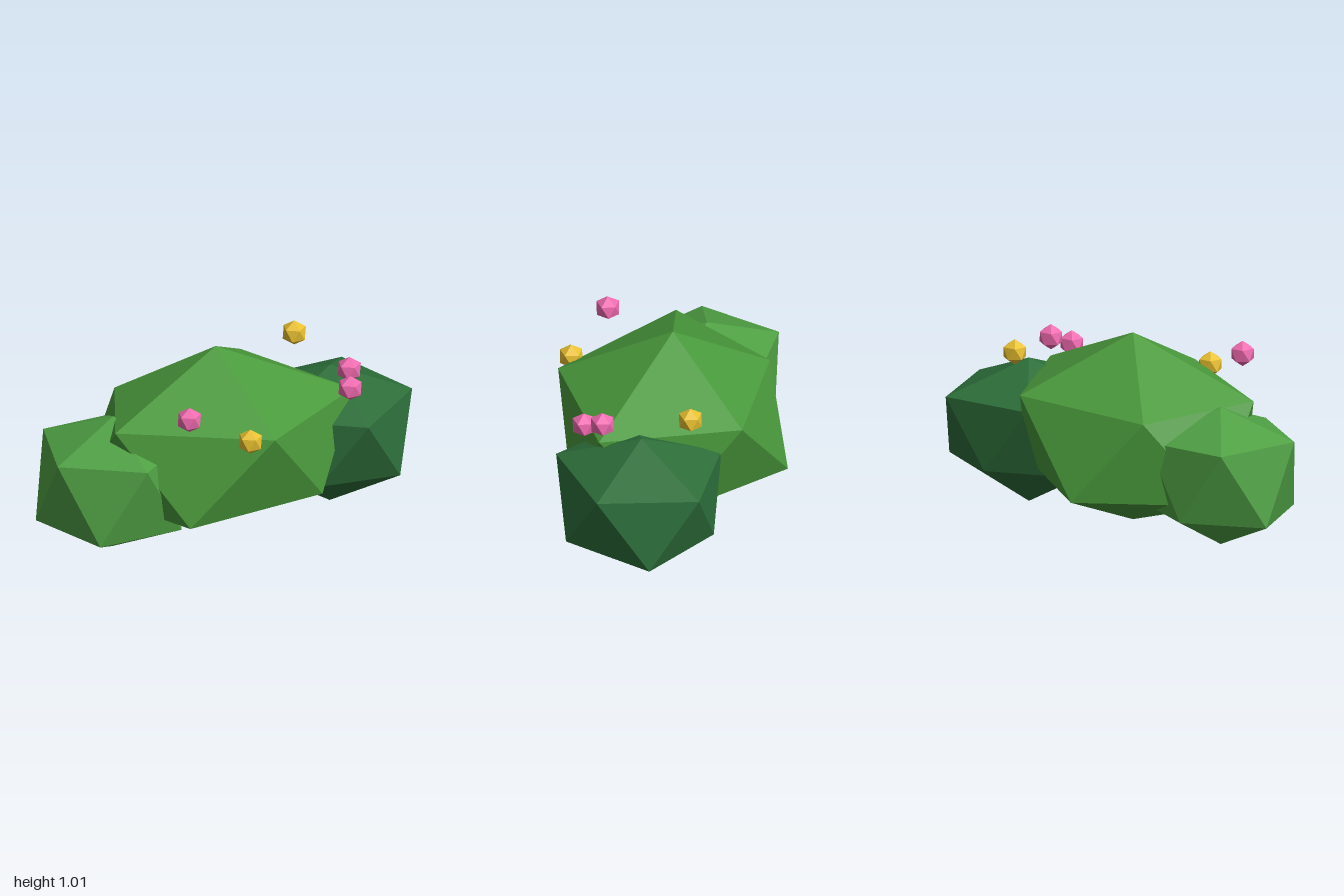
import * as THREE from 'three';

// Twenty-sided lump: a tip above and below, and two staggered rings of five.
// centre [x, z], heights [bottom, lower ring, upper ring, top], radii [x, z];
// lower and upper push single ring corners in or out.
function lump(name, color, { centre, heights, radii, lower = [1, 1, 1, 1, 1], upper = [1, 1, 1, 1, 1] }) {
  const [cx, cz] = centre;
  const [yBottom, yLower, yUpper, yTop] = heights;
  const midY = (yLower + yUpper) / 2;
  const ring = (y, turn, push) => push.map((s, k) => {
    const a = (k + turn) * Math.PI * 0.4;
    return [cx + Math.cos(a) * 0.894 * radii[0] * s, midY + (y - midY) * s, cz + Math.sin(a) * 0.894 * radii[1] * s];
  });
  const u = ring(yUpper, 0, upper);
  const l = ring(yLower, 0.5, lower);
  const top = [cx, yTop, cz];
  const bottom = [cx, yBottom, cz];
  const corners = [];
  for (let k = 0; k < 5; k++) {
    const n = (k + 1) % 5;
    corners.push(top, u[n], u[k], u[k], u[n], l[k], l[k], u[n], l[n], l[k], l[n], bottom);
  }
  const geometry = new THREE.BufferGeometry();
  geometry.setAttribute('position', new THREE.Float32BufferAttribute(corners.flat(), 3));
  geometry.computeVertexNormals();
  const mesh = new THREE.Mesh(geometry, new THREE.MeshStandardMaterial({ color, flatShading: true }));
  mesh.name = name;
  return mesh;
}

export function createModel() {
  const group = new THREE.Group();
  group.name = 'floweringBush';

  // Foliage
  group.add(
    lump('middleFoliage', 0x4a9a3c, {
      centre: [-0.05, 0.01], heights: [0.03, 0.265, 0.73, 1.02], radii: [0.79, 0.65],
      lower: [0.88, 1, 1, 1, 0.88], upper: [1, 1, 1, 0.83, 1],
    }),
    lump('rightFoliage', 0x4fa044, {
      centre: [-0.605, 0.155], heights: [0.005, 0.18, 0.58, 0.73], radii: [0.44, 0.44],
      lower: [1, 1, 1, 0.9, 1],
    }),
    lump('leftFoliage', 0x2d6e3a, {
      centre: [0.57, -0.19], heights: [0.015, 0.235, 0.61, 0.775], radii: [0.475, 0.505],
      lower: [0.94, 0.84, 1, 0.85, 0.97],
    }),
  );

  // Blossoms
  const pink = 0xf06ab0;
  const yellow = 0xe8c030;
  const r = 0.067;
  [
    [pink, -0.27, 0.868, 0.54],
    [pink, 0.64, 0.835, 0],
    [pink, 0.625, 0.785, 0.12],
    [yellow, 0.42, 0.875, -0.39],
    [yellow, 0.04, 0.735, 0.565],
  ].forEach(([color, x, y, z], i) => {
    group.add(lump(`blossom${i + 1}`, color, {
      centre: [x, z], heights: [y - r, y - r * 0.447, y + r * 0.447, y + r], radii: [r, r],
    }));
  });
  return group;
}
